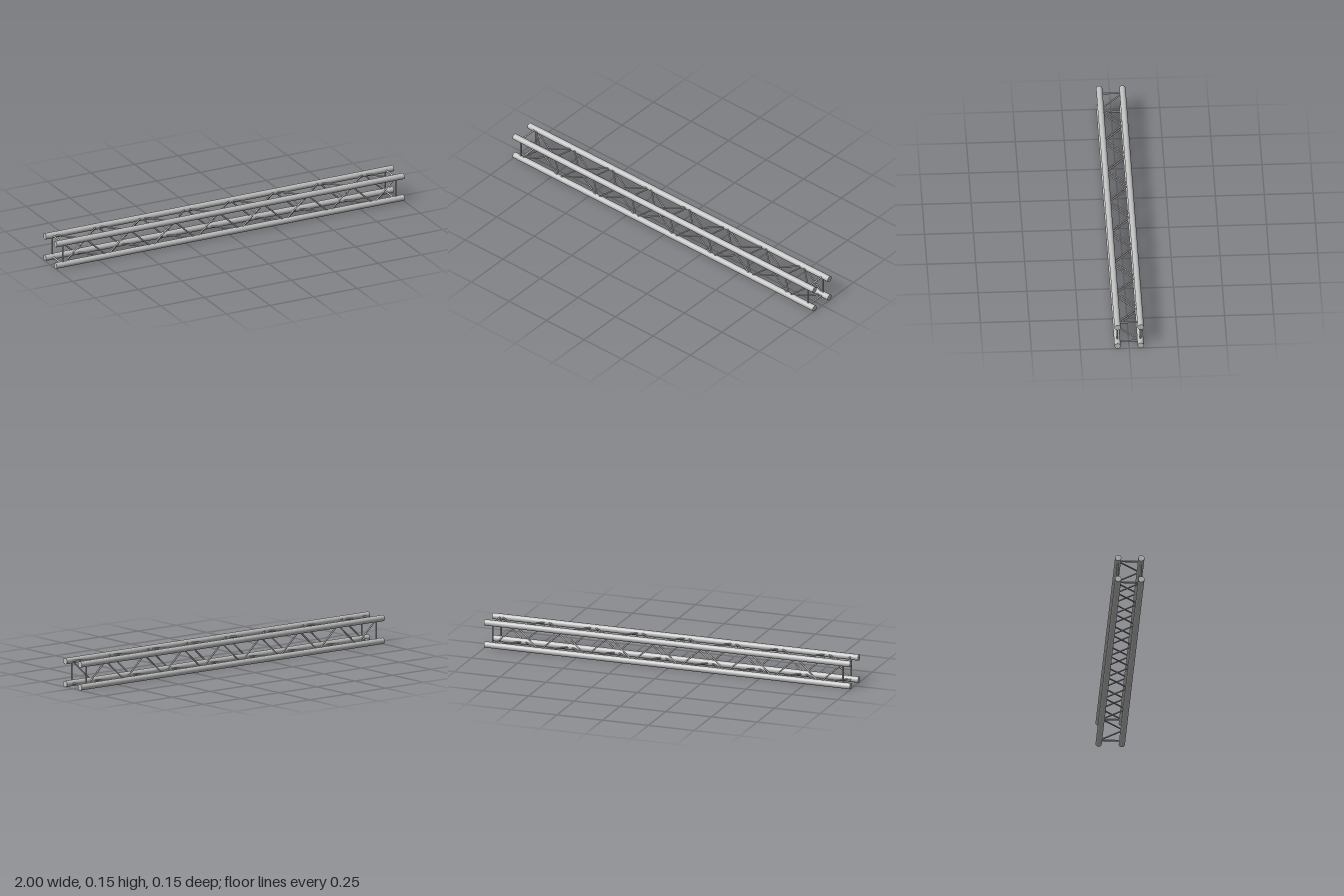
import * as THREE from 'three';

const R = 0.016;        // chord radius
const S = 0.0593;       // half spacing between chord axes
const END = 0.957;      // x of the end frames
const BAYS = 15;

export function createModel() {
  const group = new THREE.Group();
  group.name = 'boxTruss';
  const metal = new THREE.MeshStandardMaterial({ color: 0xc0c0c0 });
  metal.name = 'light grey metal';

  // Round bar between two points
  const bar = (name, a, b, radius, sides) => {
    const dir = b.clone().sub(a);
    const mesh = new THREE.Mesh(
      new THREE.CylinderGeometry(radius, radius, dir.length(), sides), metal);
    mesh.position.copy(a).add(b).multiplyScalar(0.5);
    mesh.quaternion.setFromUnitVectors(new THREE.Vector3(0, 1, 0), dir.normalize());
    mesh.name = name;
    group.add(mesh);
  };

  // Corners in order: bottom front, top front, top back, bottom back
  const corners = [[-S, S], [S, S], [S, -S], [-S, -S]];
  const at = (i, x) => new THREE.Vector3(x, corners[i % 4][0] + S + R, corners[i % 4][1]);

  for (let i = 0; i < 4; i++) {
    // Main chord
    bar('chord', at(i, -1), at(i, 1), R, 32);

    // End frame struts
    for (const x of [-END, END]) bar('endStrut', at(i, x), at(i + 1, x), 0.0045, 16);

    // Zigzag bracing; neighbouring faces meet at shared nodes
    const step = 2 * END / BAYS;
    for (let k = 0; k < BAYS; k++) {
      const x = -END + k * step;
      const flip = (i + k) % 2;
      bar('diagonalBrace', at(i + flip, x), at(i + 1 - flip, x + step), 0.004, 12);
    }
  }
  return group;
}
